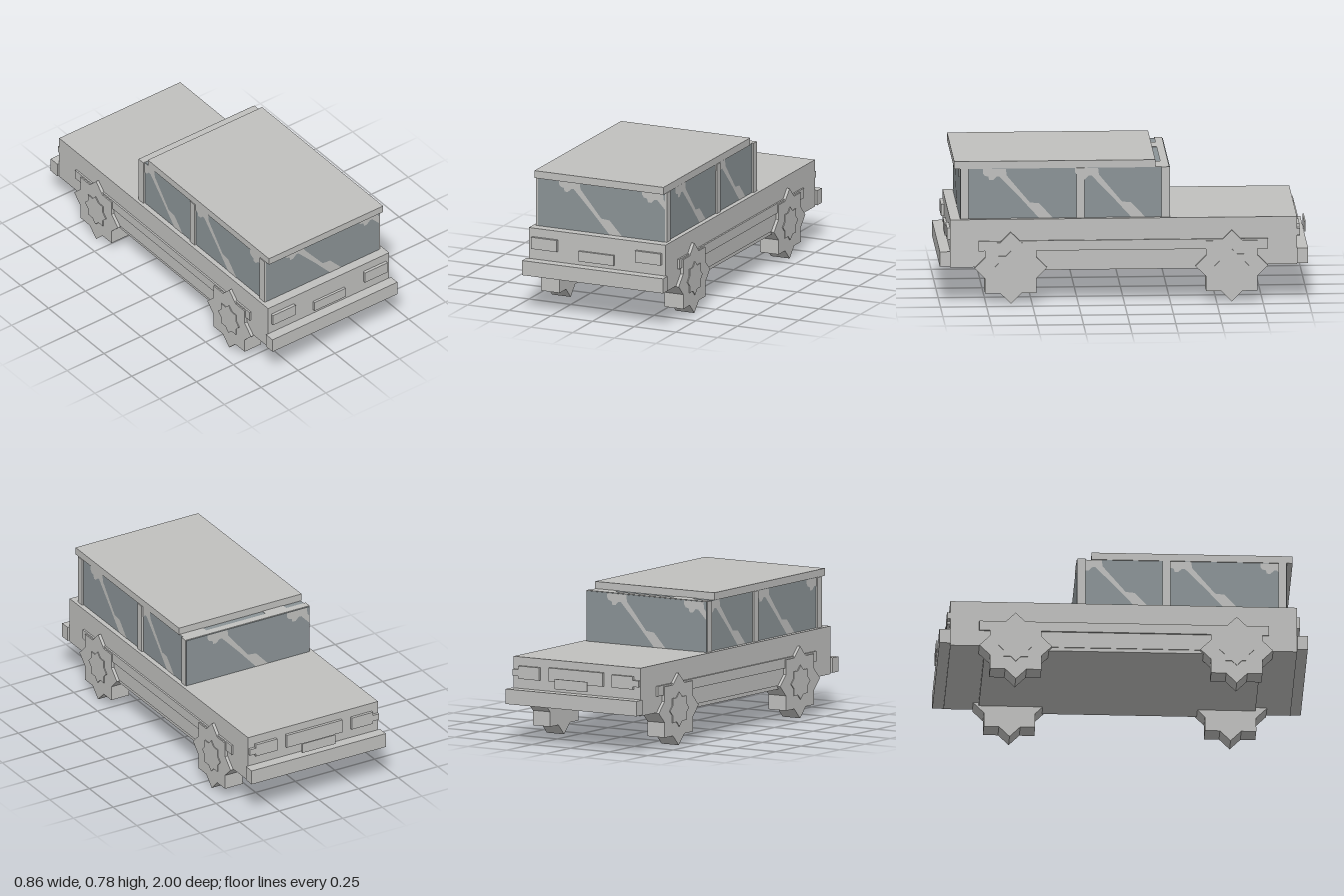
import * as THREE from 'three';

const bodyGrey = new THREE.MeshStandardMaterial({ color: 0xc0c0be });
bodyGrey.name = 'body grey';
const glassGrey = new THREE.MeshStandardMaterial({ color: 0x8b9396 });
glassGrey.name = 'glass grey';

// Outline of one window reflection, measured from its left end; y is absolute
const STREAK = [
  [0, 0.737], [0.125, 0.737], [0.13, 0.7], [0.255, 0.55], [0.305, 0.545], [0.38, 0.464],
  [0.305, 0.464], [0.245, 0.53], [0.205, 0.575], [0.09, 0.695], [0.075, 0.695],
  [0.055, 0.675], [0.035, 0.675], [0.03, 0.695], [0.01, 0.7], [0, 0.715],
];

// Box given by its minimum and maximum along each axis
function block(parent, name, [x0, x1], [y0, y1], [z0, z1], material = bodyGrey) {
  const mesh = new THREE.Mesh(new THREE.BoxGeometry(x1 - x0, y1 - y0, z1 - z0), material);
  mesh.position.set((x0 + x1) / 2, (y0 + y1) / 2, (z0 + z1) / 2);
  mesh.name = name;
  parent.add(mesh);
  return mesh;
}

// Same block on both sides of the car
function pair(parent, name, [x0, x1], y, z, material) {
  block(parent, name + 'Left', [x0, x1], y, z, material);
  block(parent, name + 'Right', [-x1, -x0], y, z, material);
}

// Eight-pointed star made of two overlapping squares, extruded along x
function starGeometry(radius, depth) {
  const shape = new THREE.Shape();
  for (let i = 0; i < 16; i++) {
    const r = i % 2 ? radius * 0.765 : radius;
    const a = (i * Math.PI) / 8;
    if (i) shape.lineTo(r * Math.cos(a), r * Math.sin(a));
    else shape.moveTo(r, 0);
  }
  const geometry = new THREE.ExtrudeGeometry(shape, { depth, bevelEnabled: false });
  return geometry.rotateY(Math.PI / 2);
}

// Cut a polygon off to the right of x = limit
function clipRight(points, limit) {
  const out = [];
  points.forEach((p, i) => {
    const q = points[(i + 1) % points.length];
    if (p[0] <= limit) out.push(p);
    if (p[0] <= limit !== q[0] <= limit) {
      const t = (limit - p[0]) / (q[0] - p[0]);
      out.push([limit, p[1] + t * (q[1] - p[1])]);
    }
  });
  return out;
}

// Flat reflections on one window side, turned to face that side
function reflections(parent, name, angle, distance, starts, limit) {
  const side = new THREE.Group();
  side.name = name;
  side.rotation.y = angle;
  for (const start of starts) {
    const points = clipRight(STREAK.map(([x, y]) => [x + start, y]), limit);
    const shape = new THREE.Shape(points.map(([x, y]) => new THREE.Vector2(x, y)));
    const streak = new THREE.Mesh(new THREE.ShapeGeometry(shape), bodyGrey);
    streak.position.z = distance;
    streak.name = 'reflection';
    side.add(streak);
  }
  parent.add(side);
}

export function createModel() {
  const car = new THREE.Group();
  car.name = 'pickup';

  // Lower body
  block(car, 'body', [-0.41, 0.41], [0.2, 0.463], [-0.937, 0.943]);
  block(car, 'floor', [-0.405, 0.405], [0.18, 0.2], [-0.75, 0.75]);
  pair(car, 'sideTrim', [0.41, 0.42], [0.29, 0.345], [-0.78, 0.79]);
  block(car, 'frontBumper', [-0.423, 0.423], [0.208, 0.29], [0.943, 1]);
  block(car, 'rearBumper', [-0.423, 0.423], [0.208, 0.29], [-0.997, -0.937]);

  // Lights and plates
  pair(car, 'frontLight', [0.235, 0.388], [0.35, 0.415], [0.943, 0.96]);
  block(car, 'frontPlate', [-0.105, 0.105], [0.313, 0.37], [0.943, 0.957]);
  block(car, 'rearGrille', [-0.175, 0.175], [0.345, 0.42], [-0.953, -0.937]);
  pair(car, 'rearLight', [0.235, 0.37], [0.345, 0.415], [-0.953, -0.937]);
  pair(car, 'rearLightCorner', [0.35, 0.408], [0.36, 0.395], [-0.953, -0.937]);
  block(car, 'rearPlate', [-0.105, 0.105], [0.315, 0.37], [-1, -0.992]);

  // Cabin: glass core, pillars, windscreen frame and roof
  block(car, 'glass', [-0.382, 0.382], [0.46, 0.739], [-0.24, 0.888], glassGrey);
  pair(car, 'cornerPillar', [0.38, 0.392], [0.46, 0.74], [0.842, 0.887]);
  pair(car, 'middlePillar', [0.38, 0.392], [0.46, 0.74], [0.214, 0.257]);
  block(car, 'screenFrame', [-0.392, 0.392], [0.46, 0.741], [-0.246, -0.204]);
  block(car, 'screenGlass', [-0.388, 0.388], [0.463, 0.738], [-0.25, -0.245], glassGrey);
  block(car, 'roof', [-0.387, 0.387], [0.739, 0.78], [-0.17, 0.92]);
  block(car, 'topReflection', [-0.27, -0.14], [0.739, 0.741], [-0.204, -0.17]);
  block(car, 'topReflectionEnd', [0.235, 0.382], [0.739, 0.741], [-0.204, -0.17]);

  reflections(car, 'frontReflections', 0, 0.8905, [-0.255, 0.245], 0.381);
  reflections(car, 'leftReflections', Math.PI / 2, 0.3845, [-0.765, -0.265], 0.23);
  reflections(car, 'backReflections', Math.PI, 0.2525, [-0.255, 0.245], 0.387);
  reflections(car, 'rightReflections', -Math.PI / 2, 0.3845, [-0.24, 0.245, 0.745], 0.86);

  // Wheels with raised hubs
  const tyre = starGeometry(0.197, 0.112);
  const hub = starGeometry(0.094, 0.006);
  for (const z of [0.615, -0.583]) {
    for (const side of [1, -1]) {
      const wheel = new THREE.Group();
      wheel.name = (z > 0 ? 'front' : 'rear') + 'Wheel' + (side > 0 ? 'Left' : 'Right');
      const tyreMesh = new THREE.Mesh(tyre, bodyGrey);
      tyreMesh.name = 'tyre';
      tyreMesh.position.x = 0.315;
      const hubMesh = new THREE.Mesh(hub, bodyGrey);
      hubMesh.name = 'hub';
      hubMesh.position.x = 0.426;
      wheel.add(tyreMesh, hubMesh);
      wheel.position.set(0, 0.197, z);
      if (side < 0) wheel.rotation.y = Math.PI;
      car.add(wheel);
    }
  }
  return car;
}
